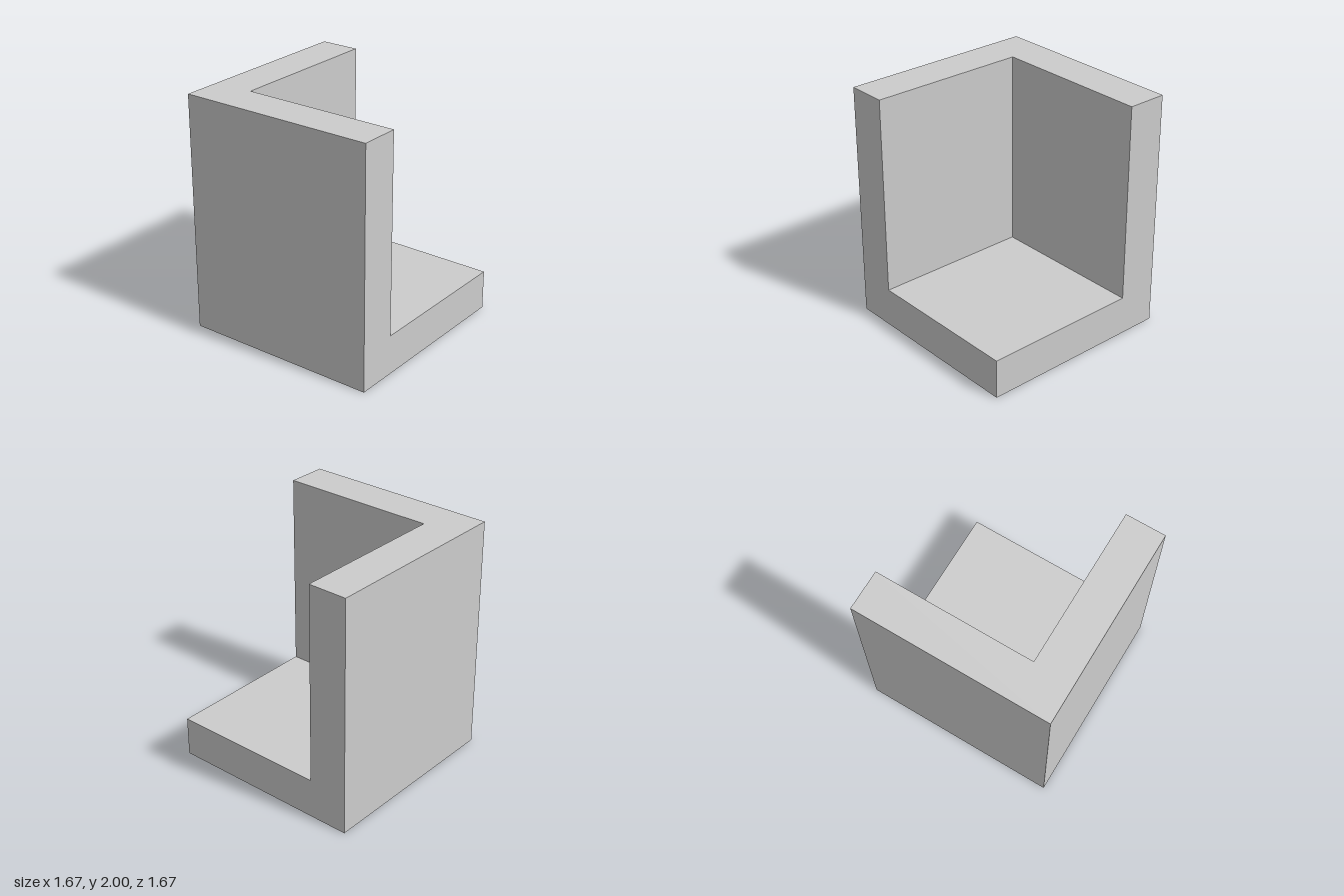
import * as THREE from 'three';
import { mergeGeometries } from 'three/addons/utils/BufferGeometryUtils.js';

// Outer bounds, and the inner corner where the two walls meet the floor
const MIN = [-0.8333, 0, -0.8333];
const MAX = [0.8333, 2, 0.8333];
const INNER = [-0.5, 0.3333, -0.5];

// Flat face through the given [u, v] corners, facing along u x v
function face(points, u, v, axis, level, flip = false) {
  const dirs = [0, 1, 2].map((i) => new THREE.Vector3().setComponent(i, 1));
  const shape = new THREE.Shape(points.map(([a, b]) => (flip ? new THREE.Vector2(b, a) : new THREE.Vector2(a, b))));
  const basis = flip
    ? new THREE.Matrix4().makeBasis(dirs[v], dirs[u], dirs[axis].clone().negate())
    : new THREE.Matrix4().makeBasis(dirs[u], dirs[v], dirs[axis]);
  basis.setPosition(dirs[axis].clone().multiplyScalar(level));
  return new THREE.ShapeGeometry(shape).applyMatrix4(basis);
}

const rect = (a, b, u, v) => [[a[u], a[v]], [b[u], a[v]], [b[u], b[v]], [a[u], b[v]]];

export function createModel() {
  const group = new THREE.Group();
  group.name = 'openCorner';

  // Per axis: full outer face, inner face of the slab, and its L-shaped rim
  const faces = [];
  for (let axis = 0; axis < 3; axis++) {
    const u = (axis + 1) % 3, v = (axis + 2) % 3;
    const rim = [
      [MIN[u], MIN[v]], [MAX[u], MIN[v]], [MAX[u], INNER[v]],
      [INNER[u], INNER[v]], [INNER[u], MAX[v]], [MIN[u], MAX[v]],
    ];
    faces.push(
      face(rect(MIN, MAX, u, v), u, v, axis, MIN[axis], true),
      face(rect(INNER, MAX, u, v), u, v, axis, INNER[axis]),
      face(rim, u, v, axis, MAX[axis]),
    );
  }

  // Floor and two walls as one closed solid
  const material = new THREE.MeshStandardMaterial({ color: 0xcccccc, flatShading: true });
  const solid = new THREE.Mesh(mergeGeometries(faces), material);
  solid.name = 'floorAndWalls';
  group.add(solid);
  return group;
}
